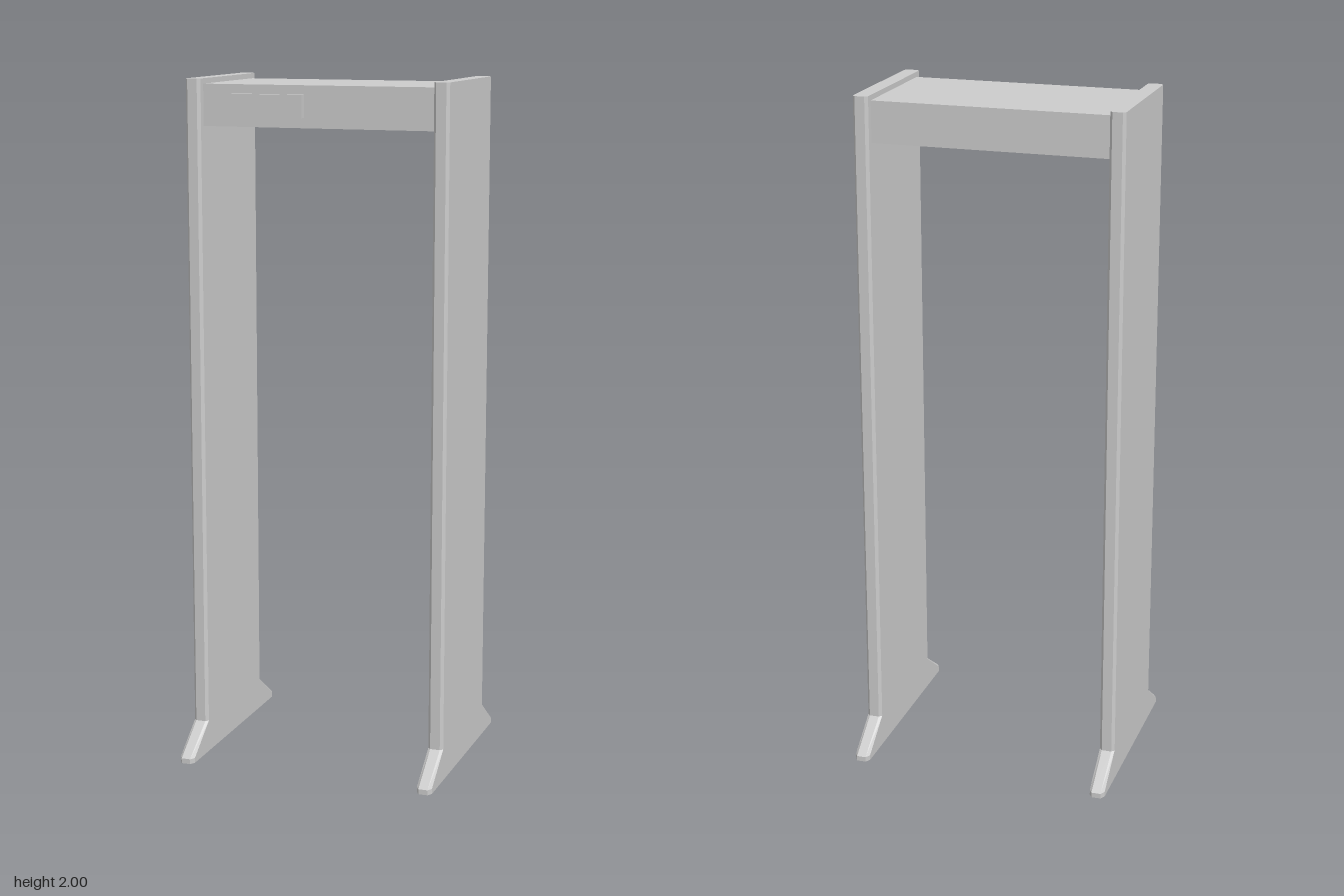
import * as THREE from 'three';

const HEIGHT = 2;
const POST_X = 0.367, POST_HALF = 0.0225;
const BEAM_HALF_Z = 0.187, BEAM_BOTTOM = 1.866, BEAM_TOP = 1.985;

const grey = () => new THREE.MeshStandardMaterial({ color: 0xcccccc, flatShading: true });

// Rectangle in plan with chamfered corners
function ring(y, halfZ, cx, cz) {
  const w = POST_HALF, d = halfZ;
  return [
    [-w + cx, y, d], [w - cx, y, d], [w, y, d - cz], [w, y, -d + cz],
    [w - cx, y, -d], [-w + cx, y, -d], [-w, y, -d + cz], [-w, y, d - cz],
  ];
}

// Skin a stack of rings and close both ends
function loft(rings) {
  const pos = [];
  const tri = (...pts) => pts.forEach((p) => pos.push(...p));
  const n = rings[0].length;
  for (let r = 0; r < rings.length - 1; r++) {
    for (let i = 0; i < n; i++) {
      const j = (i + 1) % n;
      const a = rings[r][i], b = rings[r][j], c = rings[r + 1][i], d = rings[r + 1][j];
      tri(a, b, d);
      tri(a, d, c);
    }
  }
  const bottom = rings[0], top = rings[rings.length - 1];
  for (let i = 1; i < n - 1; i++) {
    tri(top[0], top[i], top[i + 1]);
    tri(bottom[0], bottom[i + 1], bottom[i]);
  }
  const geo = new THREE.BufferGeometry();
  geo.setAttribute('position', new THREE.Float32BufferAttribute(pos, 3));
  geo.computeVertexNormals();
  return geo;
}

export function createModel() {
  const model = new THREE.Group();
  model.name = 'walkThroughGate';
  const add = (name, geo, x = 0, y = 0, z = 0) => {
    const mesh = new THREE.Mesh(geo, grey());
    mesh.name = name;
    mesh.position.set(x, y, z);
    model.add(mesh);
  };

  // Side panels with flared feet
  const panel = loft([
    ring(0, 0.33, 0.009, 0.015),
    ring(0.015, 0.33, 0.009, 0.015),
    ring(0.095, 0.215, 0.008, 0.009),
    ring(HEIGHT, 0.215, 0.008, 0.009),
  ]);
  add('leftPanel', panel, POST_X);
  add('rightPanel', panel, -POST_X);

  // Overhead beam, recessed underneath between front and back lips
  const lip = 0.014, recess = 0.035, z = BEAM_HALF_Z;
  const section = new THREE.Shape([
    [-z, BEAM_BOTTOM], [-z + lip, BEAM_BOTTOM], [-z + lip, BEAM_BOTTOM + recess],
    [z - lip, BEAM_BOTTOM + recess], [z - lip, BEAM_BOTTOM], [z, BEAM_BOTTOM],
    [z, BEAM_TOP], [-z, BEAM_TOP],
  ].map(([u, v]) => new THREE.Vector2(u, v)));
  const length = 2 * (POST_X - POST_HALF);
  const beam = new THREE.ExtrudeGeometry(section, { depth: length, bevelEnabled: false });
  beam.translate(0, 0, -length / 2).rotateY(Math.PI / 2);
  add('overheadBeam', beam);

  // Control display on the front of the beam
  add('controlDisplay', new THREE.BoxGeometry(0.236, 0.064, 0.02), -0.158, 1.927, BEAM_HALF_Z + 0.009);

  return model;
}
